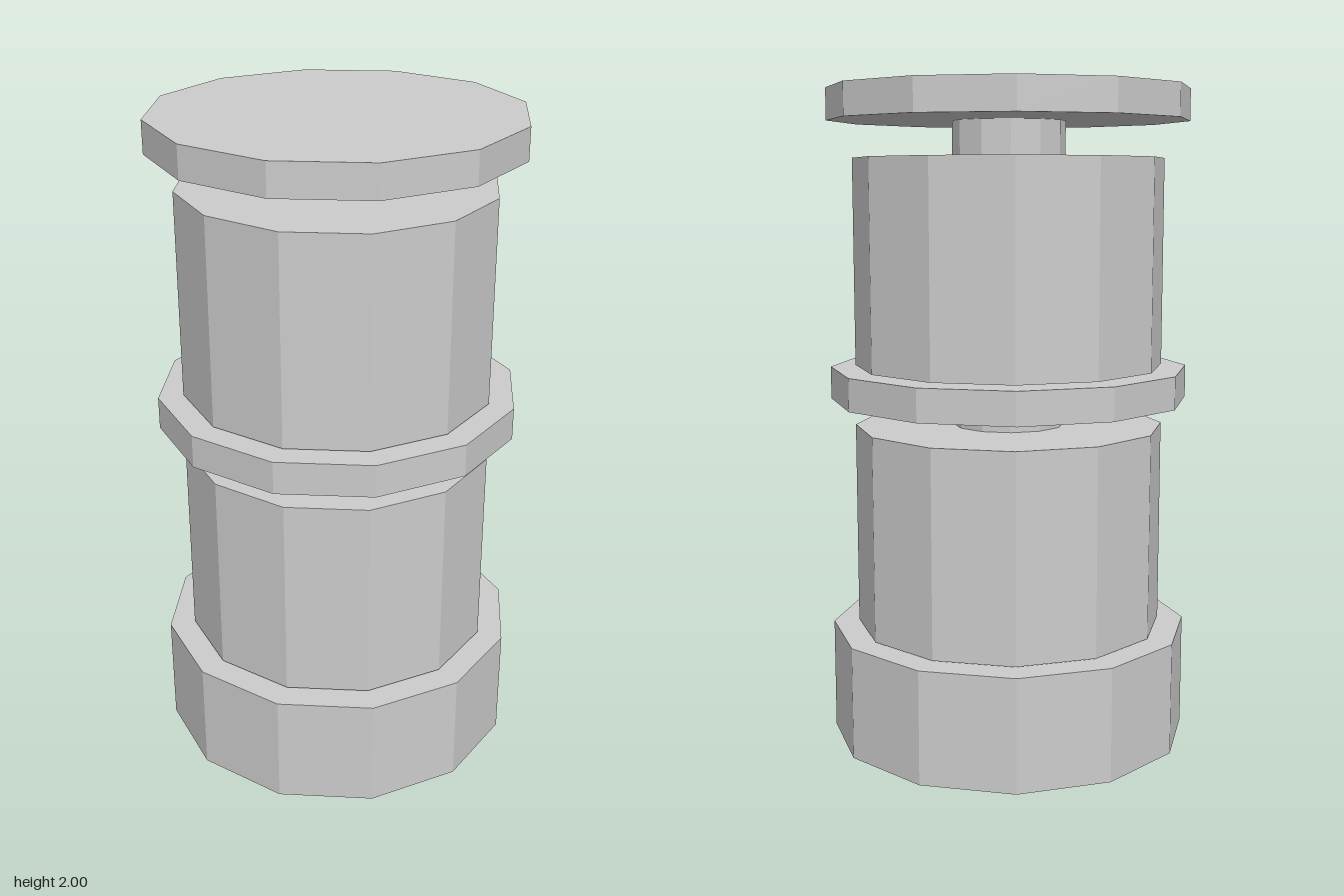
import * as THREE from 'three';

const SIDES = 12;

export function createModel() {
  const group = new THREE.Group();
  const material = new THREE.MeshStandardMaterial({ color: 0xcccccc, flatShading: true });

  // Faceted disc or drum spanning bottom..top
  function drum(name, radius, bottom, top) {
    const geometry = new THREE.CylinderGeometry(radius, radius, top - bottom, SIDES);
    const mesh = new THREE.Mesh(geometry, material);
    mesh.name = name;
    mesh.position.y = (bottom + top) / 2;
    group.add(mesh);
  }

  drum('base', 0.555, 0, 0.345);

  // Lower stage: spindle, drum and the flange above it
  drum('lowerSpindle', 0.172, 0.345, 1.06);
  drum('lowerDrum', 0.476, 0.351, 0.978);
  drum('middleFlange', 0.55, 1.06, 1.159);

  // Upper stage
  drum('upperSpindle', 0.172, 1.159, 1.903);
  drum('upperDrum', 0.474, 1.164, 1.793);
  drum('topFlange', 0.55, 1.903, 2);

  return group;
}
